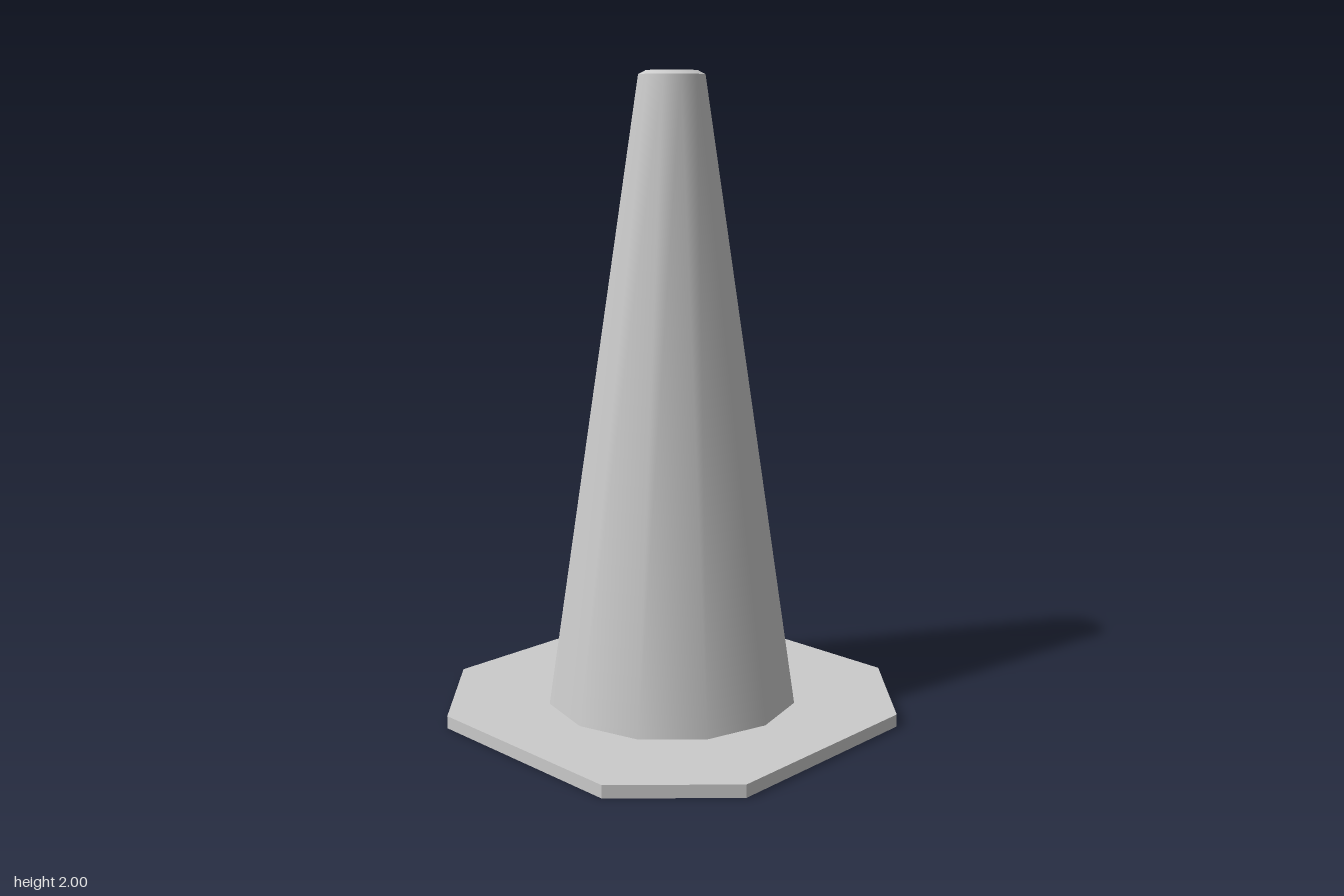
import * as THREE from 'three';

export function createModel() {
  const group = new THREE.Group();
  const material = new THREE.MeshStandardMaterial({ color: 0xcccccc });
  const sides = 12;
  const baseHeight = 0.04, rimHeight = 1.988, topHeight = 2;

  const add = (name, geometry) => {
    const mesh = new THREE.Mesh(geometry, material);
    mesh.name = name;
    group.add(mesh);
  };

  // Ring-shaped wall between two heights, smooth around its 12 sides
  const wall = (rTop, rBottom, y0, y1) =>
    new THREE.CylinderGeometry(rTop, rBottom, y1 - y0, sides, 1, true).translate(0, (y0 + y1) / 2, 0);

  // Square base plate with cut corners
  const a = 0.635, b = 0.35;
  const outline = [[a, -b], [a, b], [b, a], [-b, a], [-a, b], [-a, -b], [-b, -a], [b, -a]];
  const plate = new THREE.Shape(outline.map(([x, y]) => new THREE.Vector2(x, y)));
  add('basePlate', new THREE.ExtrudeGeometry(plate, { depth: baseHeight, bevelEnabled: false })
    .rotateX(-Math.PI / 2));

  // Tapered body
  add('coneBody', wall(0.104, 0.4, baseHeight, rimHeight));

  // Chamfered rim and flat cap
  add('topRim', wall(0.08, 0.104, rimHeight, topHeight));
  add('topCap', new THREE.CircleGeometry(0.08, sides).rotateX(-Math.PI / 2).translate(0, topHeight, 0));

  return group;
}
